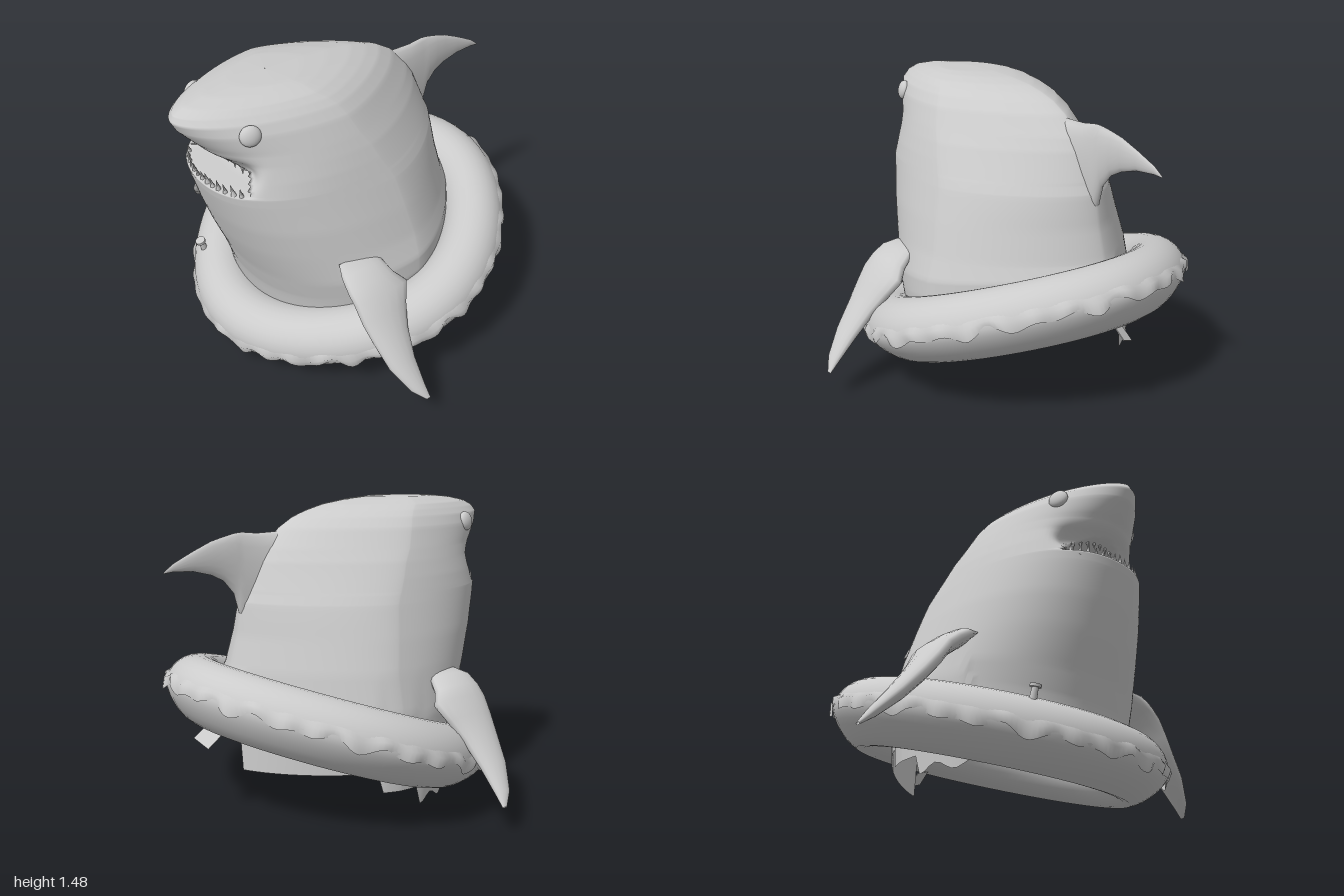
import * as THREE from 'three';

const mat = new THREE.MeshStandardMaterial({ color: 0xcccccc, side: THREE.DoubleSide });

function add(parent, name, geometry, pos = [0, 0, 0], rot = [0, 0, 0]) {
  const m = new THREE.Mesh(geometry, mat);
  m.name = name;
  m.position.set(...pos);
  m.rotation.set(...rot);
  parent.add(m);
  return m;
}

// Skin a list of closed loops of [x, y, z] points
function loft(rows) {
  const n = rows[0].length, index = [];
  for (let r = 0; r < rows.length - 1; r++) {
    for (let i = 0; i < n; i++) {
      const a = r * n + i, b = r * n + (i + 1) % n;
      index.push(a, b, b + n, a, b + n, a + n);
    }
  }
  const g = new THREE.BufferGeometry();
  g.setAttribute('position', new THREE.Float32BufferAttribute(rows.flat(2), 3));
  g.setIndex(index);
  g.computeVertexNormals();
  return g;
}

const lerp = THREE.MathUtils.lerp, smooth = THREE.MathUtils.smoothstep;
const mouthArch = x => 1.05 + 0.135 * (1 - (x / 0.25) ** 2);

// Lower edge of the body: hidden in the ring, with ragged flaps on the right side
function hem(x, z) {
  const hidden = 0.36 - 0.324 * z;
  if (x > -0.1 || z > 0.34) return hidden;
  if (z > 0.1) return 0.08 + 0.02 * Math.sin(z * 40);
  if (z > -0.1) return 0.15;
  return 0.25 + 0.04 * z;
}

// Body: horizontal sections as [y, front z, back z, half width, widest z, front roundness]
function bodyGeometry() {
  const keys = [
    [0.10, 0.54, -0.61, 0.59, 0.00, 2.1],
    [0.35, 0.58, -0.605, 0.605, 0.00, 2.1],
    [0.50, 0.62, -0.60, 0.60, 0.00, 2.15],
    [0.70, 0.69, -0.575, 0.56, 0.00, 2.2],
    [0.85, 0.74, -0.535, 0.52, 0.03, 2.25],
    [1.00, 0.785, -0.51, 0.475, 0.06, 2.25],
    [1.045, 0.795, -0.49, 0.46, 0.08, 2.25],
    [1.06, 0.79, -0.485, 0.455, 0.09, 2.25],
    [1.12, 0.775, -0.46, 0.435, 0.12, 2.25],
    [1.19, 0.775, -0.43, 0.41, 0.15, 2.15],
    [1.25, 0.80, -0.39, 0.385, 0.19, 2.0],
    [1.34, 0.875, -0.30, 0.345, 0.23, 1.8],
    [1.39, 0.90, -0.22, 0.31, 0.26, 1.7],
    [1.42, 0.885, -0.14, 0.28, 0.29, 1.6],
    [1.445, 0.83, -0.05, 0.245, 0.33, 1.6],
    [1.465, 0.73, 0.08, 0.19, 0.35, 1.6],
    [1.477, 0.60, 0.22, 0.14, 0.38, 1.8],
    [1.483, 0.421, 0.419, 0.001, 0.42, 2.0],
  ];
  const N = 128, STEPS = 6, rows = [];
  for (let k = 0; k < keys.length - 1; k++) {
    for (let s = k ? 1 : 0; s <= STEPS; s++) {
      const [y0, front, back, w, zc, nf] = keys[k].map((v, j) => lerp(v, keys[k + 1][j], s / STEPS));
      const nb = lerp(1.5, 1.35, smooth(y0, 0.9, 1.3));
      const row = [];
      for (let i = 0; i < N; i++) {
        const a = i / N * Math.PI * 2, c = Math.cos(a), sn = Math.sin(a);
        const e = 2 / (c > 0 ? nf : nb);
        const x = w * Math.sign(sn) * Math.abs(sn) ** e;
        let z = zc + (c > 0 ? front - zc : back - zc) * Math.abs(c) ** e;
        let y = y0;
        if (y < 0.7) y = 0.7 - (0.7 - y) * (0.7 - hem(x, z)) / 0.6;
        if (c > 0) {
          // set the upper lip back behind the jaw, then hollow out the mouth
          const lip = smooth(y, 1.045, 1.06) * (1 - smooth(Math.abs(x), 0.18, 0.3));
          z -= 0.085 * lip * Math.exp(-(((y - 1.13) / 0.07) ** 2));
          if (Math.abs(x) < 0.25) {
            z -= 0.16 * smooth(y, 1.045, 1.065) * smooth(mouthArch(x) - y, 0, 0.025);
          }
        }
        row.push([x, y, z]);
      }
      rows.push(row);
    }
  }
  return loft(rows);
}

// Lens-shaped loop: two end points, a thickness direction and a half thickness
function lens(p, q, dir, half, n = 16) {
  return Array.from({ length: n }, (_, i) => {
    const a = i / n * Math.PI * 2, t = 0.5 + 0.5 * Math.cos(a);
    return p.map((v, j) => lerp(v, q[j], t) + dir[j] * half * Math.sin(a));
  });
}

// Side fin: [x, y, leading z, trailing z, half thickness]
function sideFin(side) {
  const st = [
    [0.49, 0.67, 0.39, 0.20, 0.01],
    [0.55, 0.645, 0.42, 0.19, 0.04],
    [0.61, 0.60, 0.43, 0.17, 0.045],
    [0.66, 0.555, 0.43, 0.125, 0.045],
    [0.71, 0.48, 0.425, 0.17, 0.045],
    [0.77, 0.40, 0.41, 0.21, 0.042],
    [0.86, 0.29, 0.385, 0.24, 0.035],
    [0.95, 0.19, 0.33, 0.25, 0.022],
    [0.995, 0.14, 0.275, 0.25, 0.006],
  ];
  return loft(st.map(([x, y, lead, trail, h]) =>
    lens([side * x, y, trail], [side * x, y, lead], [side * 0.75, 0.66, 0], h)));
}

// Back fin: [z, top y, bottom y, half thickness]
function backFin() {
  const st = [
    [-0.22, 1.35, 1.00, 0.07],
    [-0.32, 1.325, 0.92, 0.06],
    [-0.42, 1.322, 0.87, 0.045],
    [-0.50, 1.33, 0.88, 0.035],
    [-0.525, 1.328, 0.97, 0.032],
    [-0.545, 1.325, 1.045, 0.03],
    [-0.60, 1.312, 1.11, 0.025],
    [-0.66, 1.295, 1.14, 0.02],
    [-0.75, 1.255, 1.163, 0.014],
    [-0.85, 1.205, 1.168, 0.008],
    [-0.895, 1.17, 1.163, 0.002],
  ];
  return loft(st.map(([z, top, bottom, h]) => lens([0, top, z], [0, bottom, z], [1, 0, 0], h)));
}

// Point on the ring, whose outline is slightly drawn in on the diagonals
function ringPoint(r, y, a) {
  const k = r * (1 - 0.03 * Math.sin(2 * a) ** 2);
  return [k * Math.sin(a), y, k * Math.cos(a)];
}

// Inflated tube, flattened on its lower outer side
function ringTube() {
  const M = 28, N = 72;
  return loft(Array.from({ length: M + 1 }, (_, j) => {
    const p = -Math.PI + j / M * Math.PI * 2, c = Math.cos(p), s = Math.sin(p);
    const flat = c > 0 && s < 0 ? 1 + 0.3 * c * s : 1;
    return Array.from({ length: N }, (_, i) =>
      ringPoint(0.69 + 0.155 * c * flat, 0.157 * s * flat, i / N * Math.PI * 2));
  }));
}

// Wavy welded seam around the outside of the ring
function seam() {
  const N = 240;
  return loft([[0.825, 0.06, 0], [0.855, 0.025, 0.5], [0.845, -0.02, 1]].map(([r, y, k]) =>
    Array.from({ length: N }, (_, i) => {
      const a = i / N * Math.PI * 2;
      const wave = 0.014 * Math.sin(26 * a) + 0.012 * Math.sin(17 * a + 1);
      return ringPoint(r + k * 0.008 * Math.sin(36 * a), y + k * wave, a);
    })));
}

export function createModel() {
  const model = new THREE.Group();
  model.name = 'sharkFloat';

  add(model, 'body', bodyGeometry());
  add(model, 'backFin', backFin());

  for (const side of [-1, 1]) {
    const label = side > 0 ? 'left' : 'right';
    add(model, label + 'Fin', sideFin(side));
    const eye = add(model, label + 'Eye', new THREE.SphereGeometry(0.048, 24, 16),
      [side * 0.236, 1.35, 0.66], [0, -side * 0.35, side * 0.2]);
    eye.scale.x = 0.55;
  }

  // Teeth along the jaw and the arch of the mouth
  const teeth = new THREE.Group();
  teeth.name = 'teeth';
  model.add(teeth);
  const tooth = new THREE.ConeGeometry(0.014, 0.06, 6);
  for (let i = -6; i <= 6; i++) {
    const x = 0.22 * i / 6;
    add(teeth, 'lowerTooth', tooth,
      [x, 1.065 + 0.008 * (i % 2), 0.065 + 0.715 * (1 - Math.abs(x / 0.46) ** 2.25) ** 0.444], [0.15, 0, 0.1 * (i % 3)]);
    add(teeth, 'upperTooth', tooth,
      [x, mouthArch(x) - 0.01, 0.09 + 0.6 * Math.sqrt(1 - (x / 0.44) ** 2)], [Math.PI, 0, 0]);
  }

  // Tilted swim ring with seam and valve
  const ring = new THREE.Group();
  ring.name = 'swimRing';
  ring.position.set(0, 0.37, -0.03);
  ring.rotation.x = 0.314;
  model.add(ring);
  add(ring, 'ringTube', ringTube());
  add(ring, 'ringSeam', seam());
  add(ring, 'valveStem', new THREE.CylinderGeometry(0.014, 0.018, 0.06, 12), [-0.37, 0.165, 0.63]);
  add(ring, 'valveCap', new THREE.CylinderGeometry(0.026, 0.026, 0.014, 12), [-0.37, 0.198, 0.63]);

  // Loose flap under the back of the ring
  add(model, 'backFlap', new THREE.BoxGeometry(0.1, 0.09, 0.004), [0.0, 0.38, -0.7], [0.9, 0.5, 0]);
  return model;
}
